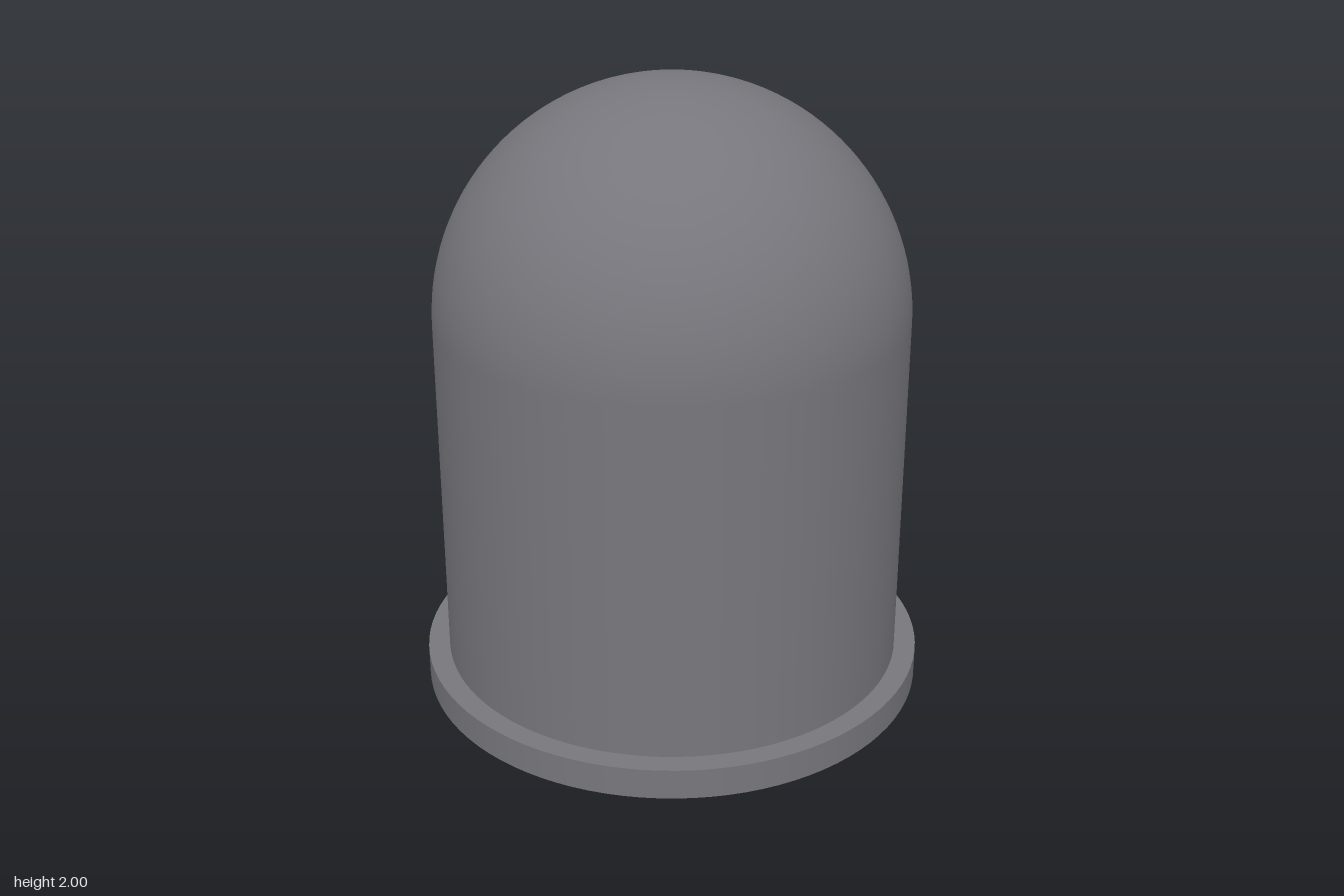
import * as THREE from 'three';

const SEGMENTS = 96;
const BODY_RADIUS = 0.75;
const FLANGE_RADIUS = 0.82;
const FLANGE_HEIGHT = 0.1;
const SPRING_LINE = 1.25; // height where the wall turns into the dome

export function createModel() {
  const group = new THREE.Group();
  group.name = 'domedCap';
  const material = new THREE.MeshStandardMaterial({ color: 0x77767c });

  // Flat round flange at the foot
  const flange = new THREE.Mesh(
    new THREE.CylinderGeometry(FLANGE_RADIUS, FLANGE_RADIUS, FLANGE_HEIGHT, SEGMENTS),
    material
  );
  flange.name = 'baseFlange';
  flange.position.y = FLANGE_HEIGHT / 2;
  group.add(flange);

  // Straight wall running smoothly into a hemispherical dome
  const profile = [new THREE.Vector2(BODY_RADIUS, FLANGE_HEIGHT)];
  const steps = 32;
  for (let i = 0; i <= steps; i++) {
    const a = (i / steps) * Math.PI / 2;
    const r = i === steps ? 0 : BODY_RADIUS * Math.cos(a);
    profile.push(new THREE.Vector2(r, SPRING_LINE + BODY_RADIUS * Math.sin(a)));
  }
  const body = new THREE.Mesh(new THREE.LatheGeometry(profile, SEGMENTS), material);
  body.name = 'domedBody';
  group.add(body);

  return group;
}
